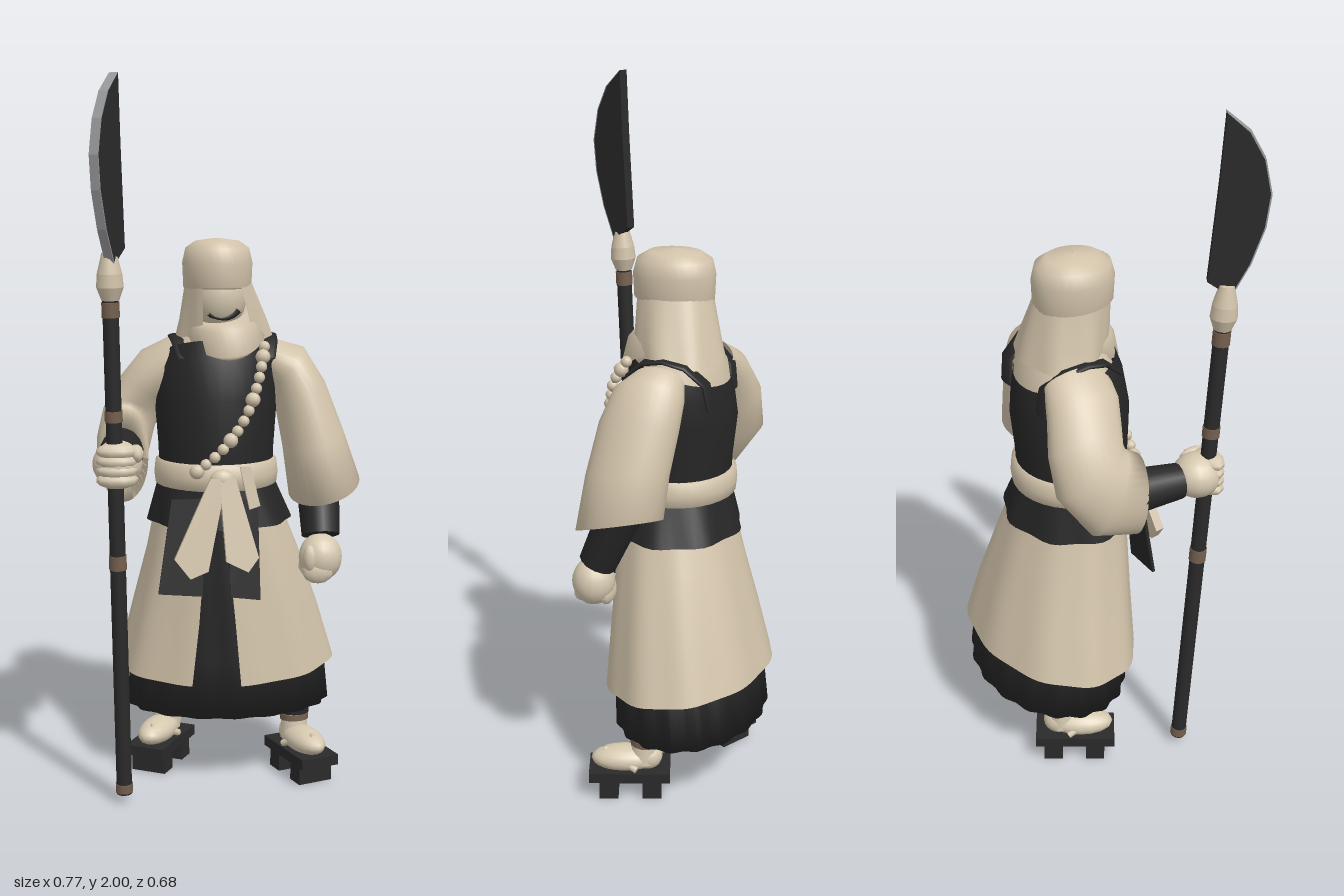
import * as THREE from 'three';

const paint = (name, color) => {
  const m = new THREE.MeshStandardMaterial({ color, side: THREE.DoubleSide });
  m.name = name;
  return m;
};

export function createModel() {
  const root = new THREE.Group();
  root.name = 'staffBearer';
  const cloth = paint('beigeCloth', 0xd2c3aa);
  const black = paint('blackCloth', 0x262626);
  const skin = paint('paleSkin', 0xd6c9b0);
  const wood = paint('darkWood', 0x2a2a2b);
  const steel = paint('edgeSteel', 0x98999b);
  const brown = paint('brownCord', 0x75604f);

  const add = (name, geo, mat, parent = root) => {
    const m = new THREE.Mesh(geo, mat);
    m.name = name;
    parent.add(m);
    return m;
  };

  // Surface through tilted elliptical rings, listed from lower end to upper end.
  // Ring: c centre, r radii, t tilt, gap half-angle left open at the front.
  const loft = (name, rings, mat, { seg = 32, folds = 0, shift = 0, open = false } = {}) => {
    const pos = [], idx = [], cols = open ? seg + 1 : seg;
    rings.forEach(({ c, r, t = [0, 0, 0], gap = 0, amp = 0 }) => {
      const e = new THREE.Euler(...t);
      for (let j = 0; j < cols; j++) {
        const f = j / seg;
        const a = Math.PI / 2 + shift + gap + f * (2 * Math.PI - 2 * gap);
        const k = 1 + amp * Math.cos(folds * f * Math.PI * 2);
        const p = new THREE.Vector3(Math.cos(a) * r[0] * k, 0, Math.sin(a) * r[1] * k).applyEuler(e);
        pos.push(p.x + c[0], p.y + c[1], p.z + c[2]);
      }
    });
    for (let i = 0; i < rings.length - 1; i++) {
      for (let j = 0; j < seg; j++) {
        const k = (j + 1) % cols, p = i * cols, q = p + cols;
        idx.push(p + j, q + j, q + k, p + j, q + k, p + k);
      }
    }
    const g = new THREE.BufferGeometry();
    g.setAttribute('position', new THREE.Float32BufferAttribute(pos, 3));
    g.setIndex(idx);
    g.computeVertexNormals();
    return add(name, g, mat);
  };

  // Tapered cylinder between two points.
  const rod = (name, a, b, ra, rb, mat, parent = root, seg = 14) => {
    const A = new THREE.Vector3(...a), B = new THREE.Vector3(...b), d = B.clone().sub(A);
    const m = add(name, new THREE.CylinderGeometry(rb, ra, d.length(), seg), mat, parent);
    m.position.copy(A).add(B).multiplyScalar(0.5);
    m.quaternion.setFromUnitVectors(new THREE.Vector3(0, 1, 0), d.normalize());
    return m;
  };

  const ball = (name, p, s, mat, parent = root, seg = 16) => {
    const m = add(name, new THREE.SphereGeometry(1, seg, Math.ceil(seg * 0.7)), mat, parent);
    m.position.set(...p);
    m.scale.set(...s);
    return m;
  };

  // Flat panel from an outline, hung at z and leaning forward by lean.
  const panel = (name, pts, depth, mat, top, z, lean) => {
    const s = new THREE.Shape(pts.map(([x, y]) => new THREE.Vector2(x, y - top)));
    const m = add(name, new THREE.ExtrudeGeometry(s, { depth, bevelEnabled: false }), mat);
    m.position.set(0, top, z);
    m.rotation.x = -lean;
    return m;
  };

  // Pleated underskirt, closed underneath
  loft('underskirt', [
    { c: [0.02, 0.24, -0.11], r: [0.01, 0.01] },
    { c: [0.02, 0.205, -0.11], r: [0.297, 0.212], amp: 0.02 },
    { c: [0.02, 0.37, -0.1], r: [0.28, 0.205], amp: 0.018 },
    { c: [0, 0.6, -0.07], r: [0.21, 0.175], amp: 0.01 },
    { c: [-0.02, 0.86, -0.045], r: [0.15, 0.14] },
  ], black, { seg: 96, folds: 18 });

  // Long coat skirt, parted at the front
  loft('coatSkirt', [
    { c: [0.014, 0.335, -0.1], r: [0.315, 0.234], t: [0.1, 0, 0.02], gap: 0.22, amp: 0.014 },
    { c: [0.01, 0.5, -0.085], r: [0.27, 0.21], t: [0.05, 0, 0], gap: 0.19, amp: 0.016 },
    { c: [0, 0.68, -0.065], r: [0.217, 0.182], gap: 0.16, amp: 0.012 },
    { c: [-0.02, 0.86, -0.045], r: [0.165, 0.15], gap: 0.1 },
  ], cloth, { seg: 72, folds: 9, shift: 0.16, open: true });

  // Vest, cut lower at the back, over a pale yoke
  loft('vest', [
    { c: [-0.02, 0.84, -0.045], r: [0.163, 0.15] },
    { c: [-0.02, 0.98, -0.045], r: [0.165, 0.157] },
    { c: [-0.02, 1.11, -0.05], r: [0.175, 0.165], t: [-0.1, 0, 0] },
    { c: [-0.015, 1.2, -0.055], r: [0.173, 0.153], t: [-0.22, 0, 0] },
    { c: [-0.008, 1.25, -0.06], r: [0.155, 0.142], t: [-0.3, 0, 0] },
  ], black);
  loft('yoke', [
    { c: [-0.012, 1.18, -0.06], r: [0.165, 0.143], t: [-0.22, 0, 0] },
    { c: [-0.005, 1.27, -0.067], r: [0.145, 0.122], t: [-0.15, 0, 0] },
    { c: [0, 1.33, -0.06], r: [0.085, 0.088] },
  ], cloth);
  // Flat straps running from the back over the shoulders
  [-1, 1].forEach((s) => loft('vestStrap', [
    { c: [s * 0.1, 1.16, -0.183], r: [0.03, 0.008], t: [0.1, 0, 0] },
    { c: [s * 0.112, 1.23, -0.173], r: [0.028, 0.008], t: [0.35, 0, 0] },
    { c: [s * 0.125, 1.278, -0.12], r: [0.026, 0.008], t: [1.1, 0, 0] },
    { c: [s * 0.13, 1.292, -0.06], r: [0.026, 0.008], t: [1.57, 0, 0] },
    { c: [s * 0.125, 1.28, 0.0], r: [0.026, 0.008], t: [2.0, 0, 0] },
    { c: [s * 0.11, 1.235, 0.05], r: [0.028, 0.008], t: [2.5, 0, 0] },
  ], black, { seg: 16 }));
  loft('vestTail', [
    { c: [-0.01, 0.765, -0.05], r: [0.203, 0.182], amp: 0.035 },
    { c: [-0.02, 0.88, -0.045], r: [0.168, 0.156] },
  ], black, { seg: 48, folds: 8 });
  loft('belt', [0.865, 0.875, 0.905, 0.94, 0.948].map((y, i) => ({
    c: [-0.02, y, -0.045], r: [[0.16, 0.174, 0.178, 0.174, 0.16][i], [0.15, 0.167, 0.171, 0.167, 0.15][i]],
  })), cloth);

  // Hanging front flaps, belt ends and knot
  panel('rightFlap', [[-0.16, 0.85], [-0.07, 0.85], [-0.075, 0.575], [-0.2, 0.585]], 0.009, black, 0.85, 0.1, 0.1);
  panel('leftFlap', [[0, 0.85], [0.08, 0.85], [0.085, 0.565], [0.0, 0.575]], 0.009, black, 0.85, 0.115, 0.1);
  panel('rightBeltEnd', [[-0.055, 0.91], [-0.01, 0.91], [-0.065, 0.655], [-0.115, 0.635], [-0.158, 0.69]], 0.025, cloth, 0.91, 0.125, 0.17);
  panel('leftBeltEnd', [[-0.03, 0.91], [0.015, 0.91], [0.075, 0.69], [0.045, 0.65], [-0.015, 0.68]], 0.025, cloth, 0.91, 0.125, 0.2);
  panel('beltLoop', [[0.03, 0.94], [0.06, 0.94], [0.085, 0.83], [0.055, 0.82]], 0.02, cloth, 0.94, 0.105, 0.15);
  ball('beltKnot', [-0.02, 0.905, 0.13], [0.036, 0.033, 0.022], cloth);

  // Bead string across the chest
  const string = new THREE.CatmullRomCurve3([
    [0.105, 1.27, 0.06], [0.085, 1.19, 0.11], [0.045, 1.08, 0.125], [-0.02, 0.99, 0.128], [-0.09, 0.93, 0.12],
  ].map((p) => new THREE.Vector3(...p)));
  string.getSpacedPoints(13).forEach((p, i) => {
    const r = i % 4 === 1 ? 0.021 : 0.016;
    ball('bead' + i, p.toArray(), [r, r, r], cloth, root, 10);
  });
  add('beadCord', new THREE.TubeGeometry(string, 24, 0.006, 6), brown);

  // Sleeves: the left hangs down, the right bends forward at the elbow
  loft('leftSleeve', [
    { c: [0.27, 0.91, 0.0], r: [0.06, 0.08] },
    { c: [0.285, 0.865, 0.012], r: [0.104, 0.124], t: [0.25, 0, 0.28] },
    { c: [0.254, 1.0, 0.0], r: [0.09, 0.118], t: [0.12, 0, 0.3] },
    { c: [0.218, 1.13, -0.02], r: [0.078, 0.112], t: [0, 0, 0.45] },
    { c: [0.183, 1.205, -0.035], r: [0.072, 0.1], t: [0, 0, 0.85] },
    { c: [0.135, 1.232, -0.045], r: [0.052, 0.075], t: [0, 0, 1.2] },
  ], cloth);
  loft('rightSleeve', [
    { c: [-0.29, 0.96, -0.05], r: [0.05, 0.07], t: [-1.5, 0, 0] },
    { c: [-0.288, 0.95, 0.01], r: [0.07, 0.125], t: [-1.5, 0, 0] },
    { c: [-0.286, 0.98, -0.075], r: [0.075, 0.13], t: [-1.15, 0, -0.1] },
    { c: [-0.266, 1.05, -0.12], r: [0.078, 0.115], t: [-0.55, 0, -0.3] },
    { c: [-0.23, 1.125, -0.115], r: [0.076, 0.11], t: [-0.2, 0, -0.55] },
    { c: [-0.183, 1.19, -0.095], r: [0.074, 0.106], t: [0, 0, -0.9] },
    { c: [-0.115, 1.243, -0.08], r: [0.056, 0.095], t: [0, 0, -1.1] },
  ], cloth);

  // Forearms and fists
  rod('leftForearm', [0.265, 0.735, 0.085], [0.265, 0.93, 0.0], 0.054, 0.064, black);
  ball('leftFist', [0.262, 0.675, 0.1], [0.062, 0.068, 0.06], skin);
  rod('rightForearm', [-0.31, 0.965, 0.135], [-0.29, 0.965, -0.06], 0.05, 0.068, black);
  ball('rightFist', [-0.312, 0.97, 0.19], [0.068, 0.064, 0.07], skin);
  for (let i = 0; i < 4; i++) {
    ball('rightFinger' + i, [-0.314, 0.932 + i * 0.026, 0.228], [0.058, 0.024, 0.036], skin, root, 10);
    ball('leftFinger' + i, [0.25, 0.642, 0.062 + i * 0.025], [0.045, 0.035, 0.02], skin, root, 10);
  }
  ball('rightThumb', [-0.262, 1.0, 0.21], [0.02, 0.025, 0.045], skin, root, 10);
  ball('leftThumb', [0.225, 0.68, 0.14], [0.02, 0.04, 0.022], skin, root, 10);

  // Head, face and wrapped hood
  ball('face', [-0.015, 1.41, -0.025], [0.08, 0.105, 0.092], skin, root, 24);
  const beard = add('beard', new THREE.TorusGeometry(0.058, 0.009, 6, 16, Math.PI * 0.5), black);
  beard.position.set(-0.01, 1.408, 0.042);
  beard.rotation.z = Math.PI * 1.28;
  loft('cap', [
    { c: [-0.015, 1.425, -0.035], r: [0.085, 0.1], t: [-0.05, 0, 0] },
    { c: [-0.017, 1.43, -0.035], r: [0.096, 0.113], t: [-0.05, 0, 0] },
    { c: [-0.017, 1.5, -0.035], r: [0.099, 0.116] },
    { c: [-0.017, 1.54, -0.036], r: [0.09, 0.106] },
    { c: [-0.017, 1.56, -0.037], r: [0.062, 0.075] },
    { c: [-0.017, 1.568, -0.037], r: [0.002, 0.002] },
  ], cloth);
  loft('hoodVeil', [
    { c: [0.006, 1.265, -0.068], r: [0.145, 0.118], t: [0.05, 0, 0], gap: 0.5, amp: 0.03 },
    { c: [0, 1.34, -0.052], r: [0.122, 0.118], gap: 0.55, amp: 0.025 },
    { c: [-0.015, 1.45, -0.036], r: [0.092, 0.108], gap: 0.6 },
  ], cloth, { seg: 48, folds: 6, open: true });
  // Scarf wound round the neck, dipping to the chest
  loft('neckScarf', [
    { c: [0.005, 1.28, -0.03], r: [0.09, 0.13], t: [0.35, 0, 0.05] },
    { c: [0.003, 1.3, -0.025], r: [0.112, 0.142], t: [0.4, 0, 0.06] },
    { c: [-0.004, 1.345, -0.028], r: [0.1, 0.122], t: [0.25, 0, 0.12] },
    { c: [-0.01, 1.365, -0.03], r: [0.085, 0.104], t: [0.25, 0, 0.14] },
    { c: [-0.01, 1.345, -0.03], r: [0.05, 0.06], t: [0.2, 0, 0.1] },
  ], cloth);

  // Polearm: shaft, bands, socket
  const foot = new THREE.Vector3(-0.302, 0.025, 0.172), head = new THREE.Vector3(-0.328, 1.43, 0.24);
  const on = (y) => foot.clone().lerp(head, (y - foot.y) / (head.y - foot.y)).toArray();
  rod('shaft', on(0.025), on(1.44), 0.022, 0.022, wood);
  [[0.03, 0.055], [0.68, 0.72], [1.09, 1.12], [1.37, 1.41]].forEach(([a, b], i) =>
    rod('shaftBand' + i, on(a), on(b), 0.0245, 0.0245, brown));
  rod('socketLower', on(1.415), on(1.45), 0.024, 0.037, cloth);
  rod('socketMiddle', on(1.45), on(1.485), 0.037, 0.034, cloth);
  rod('socketUpper', on(1.485), on(1.54), 0.034, 0.02, cloth);

  // Curved blade with a bright rim along its front
  const blade = new THREE.Group();
  blade.name = 'blade';
  blade.position.set(-0.298, 0, 0.204);
  blade.rotation.y = Math.atan2(-0.88, -0.47);
  root.add(blade);
  const edge = [[0.065, 1.51], [0.11, 1.6], [0.142, 1.7], [0.152, 1.79], [0.132, 1.88], [0.092, 1.95], [0.03, 2]];
  const inner = edge.map(([u, y], i) => [u - (i === 6 ? 0 : 0.004), y]);
  const slab = (name, pts, depth, mat) => {
    const s = new THREE.Shape(pts.map((p) => new THREE.Vector2(...p)));
    add(name, new THREE.ExtrudeGeometry(s, { depth, bevelEnabled: false }), mat, blade).position.z = -depth / 2;
  };
  slab('bladeBody', [[0.0, 1.55], ...inner, [0.02, 1.82]], 0.026, wood);
  slab('bladeEdge', [...edge, ...inner.slice(0, 6).reverse()], 0.026, steel);

  // Feet on raised wooden sandals
  [['left', 0.225, 0.01, 0.35], ['right', -0.18, -0.12, -0.5]].forEach(([side, x, z, turn]) => {
    const g = new THREE.Group();
    g.name = side + 'Foot';
    g.position.set(x, 0, z);
    g.rotation.y = turn;
    root.add(g);
    add('sandalBoard', new THREE.BoxGeometry(0.118, 0.03, 0.235), wood, g).position.y = 0.07;
    [-0.065, 0.06].forEach((tz) =>
      add('sandalTooth', new THREE.BoxGeometry(0.105, 0.06, 0.055), wood, g).position.set(0, 0.03, tz));
    ball('footSole', [0, 0.108, 0.015], [0.05, 0.038, 0.097], skin, g);
    ball('heel', [0, 0.115, -0.05], [0.04, 0.042, 0.045], skin, g);
    rod('ankle', [0, 0.1, -0.04], [0, 0.19, -0.045], 0.042, 0.036, skin, g);
    rod('legging', [0, 0.175, -0.045], [0, 0.33, -0.05], 0.044, 0.055, black, g);
    rod('ankleCord', [0, 0.155, -0.043], [0, 0.172, -0.044], 0.042, 0.042, brown, g);
    [-1, 1].forEach((s) => rod('thong', [0, 0.135, 0.075], [s * 0.05, 0.092, -0.02], 0.01, 0.01, cloth, g, 8));
  });

  return root;
}
